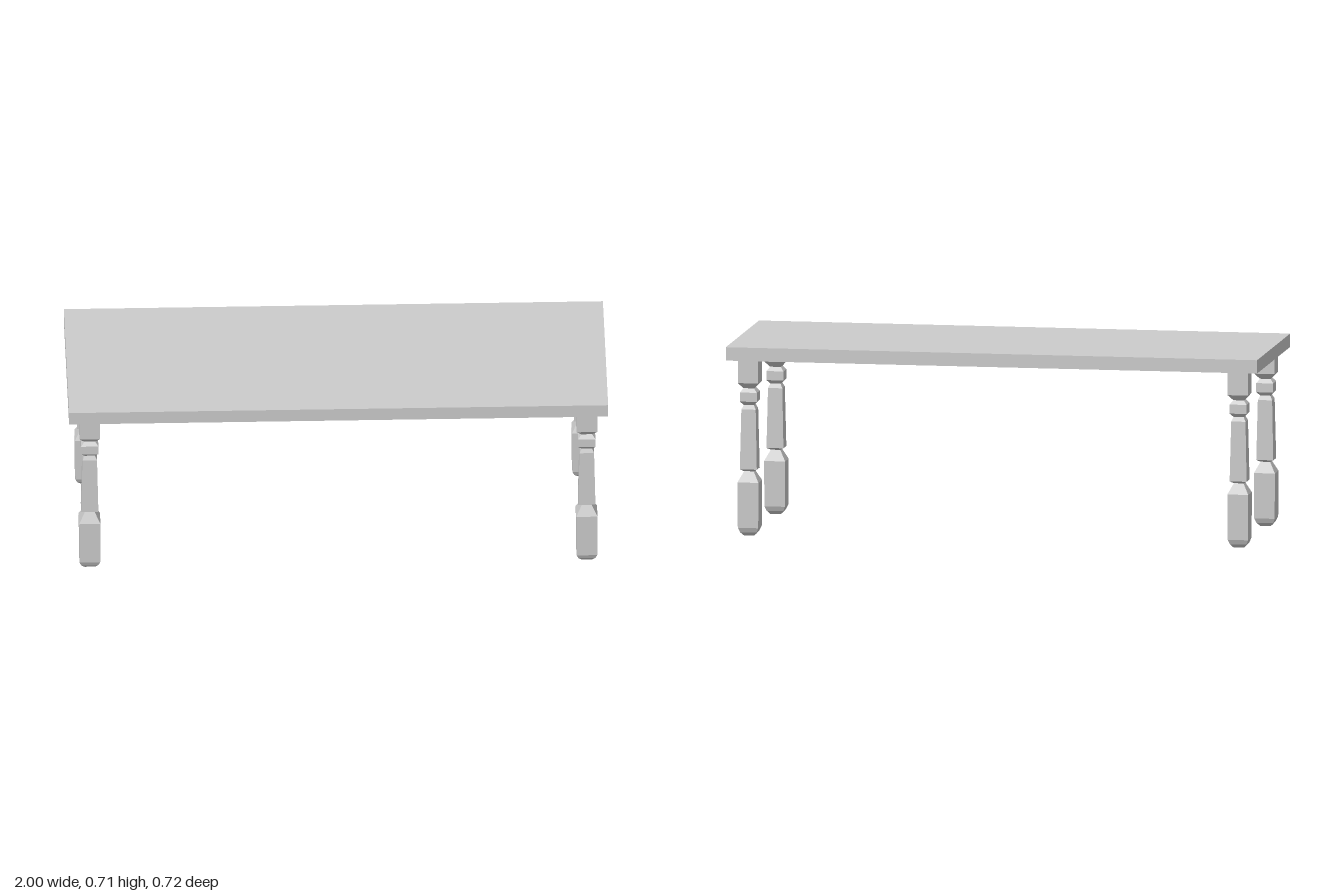
import * as THREE from 'three';

// Leg profile from the floor up: [half width of the square section, height]
const LEG_PROFILE = [
  [0, 0], [0.02, 0], [0.031, 0.0125], [0.0385, 0.03], [0.0395, 0.2], // foot block
  [0.018, 0.24], [0.032, 0.248], [0.027, 0.472], [0.019, 0.488],     // tapered shaft
  [0.032, 0.502], [0.032, 0.536], [0.02, 0.551],                     // collar
  [0.0385, 0.572], [0.0385, 0.66], [0, 0.66],                        // top block
];

export function createModel() {
  const group = new THREE.Group();
  group.name = 'table';
  const material = new THREE.MeshStandardMaterial({ color: 0xcccccc, flatShading: true });

  // Flat slab top
  const top = new THREE.Mesh(new THREE.BoxGeometry(2, 0.05, 0.716), material);
  top.name = 'tableTop';
  top.position.y = 0.685;
  group.add(top);

  // Four-sided lathe, turned so the flat sides face the axes
  const points = LEG_PROFILE.map(([half, y]) => new THREE.Vector2(half * Math.SQRT2, y));
  const legGeometry = new THREE.LatheGeometry(points, 4, Math.PI / 4);

  for (const [side, x] of [['Left', 0.922], ['Right', -0.922]]) {
    for (const [end, z] of [['front', 0.287], ['back', -0.287]]) {
      const leg = new THREE.Mesh(legGeometry, material);
      leg.name = `${end}${side}Leg`;
      leg.position.set(x, 0, z);
      group.add(leg);
    }
  }
  return group;
}
